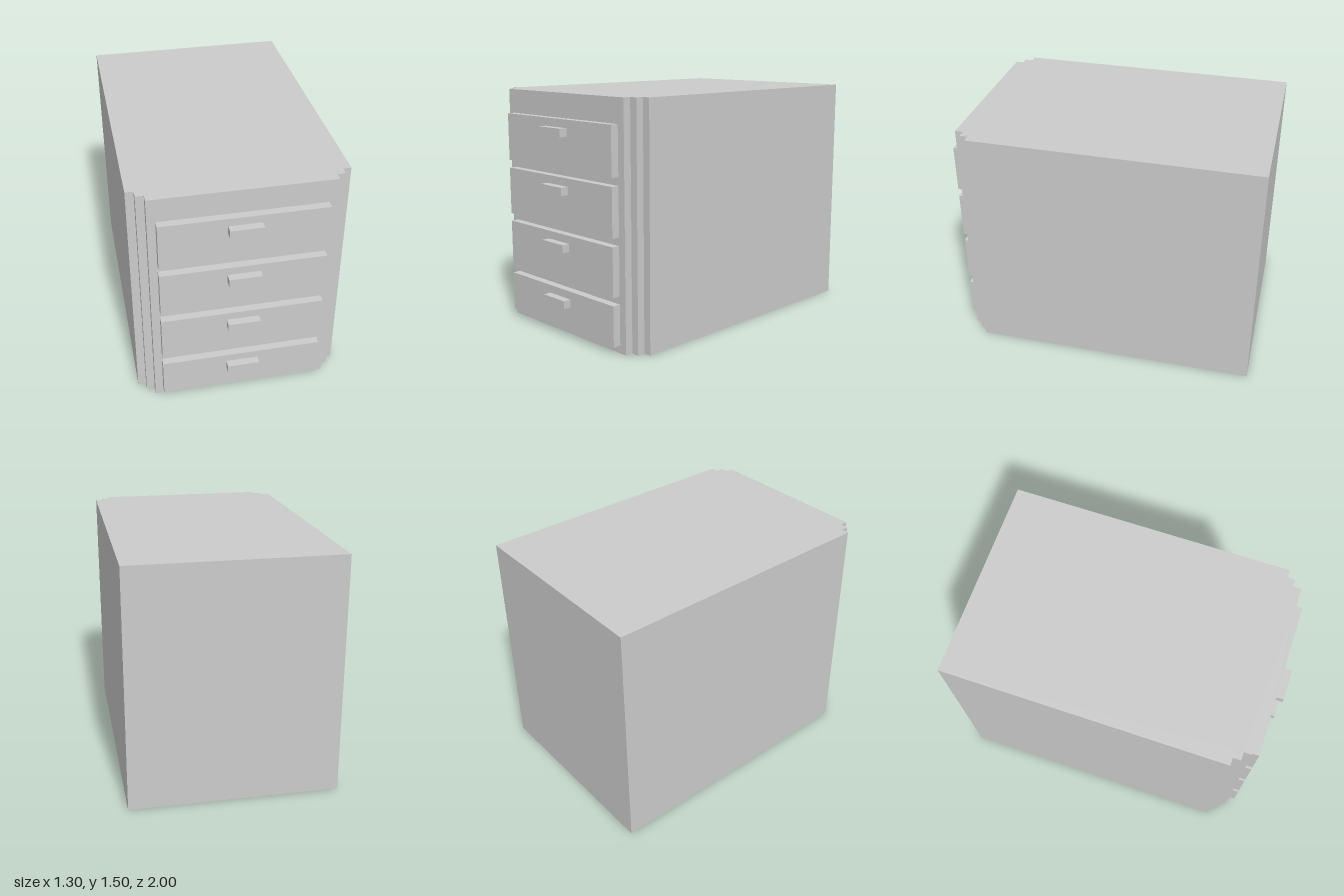
import * as THREE from 'three';

const material = new THREE.MeshStandardMaterial({ color: 0xcccccc, flatShading: true });

// Box centred on x, spanning y0..y1 and z0..z1
function block(name, width, y0, y1, z0, z1) {
  const mesh = new THREE.Mesh(new THREE.BoxGeometry(width, y1 - y0, z1 - z0), material);
  mesh.position.set(0, (y0 + y1) / 2, (z0 + z1) / 2);
  mesh.name = name;
  return mesh;
}

export function createModel() {
  const model = new THREE.Group();
  model.name = 'drawerCabinet';

  // Cabinet body: a plan outline with stepped front corners, extruded upwards
  const rightSide = [[0.65, -1], [0.65, 0.8], [0.6, 0.8], [0.6, 0.85], [0.55, 0.85], [0.55, 0.9]];
  const leftSide = rightSide.map(([x, z]) => [-x, z]).reverse();
  const outline = [...rightSide, ...leftSide].map(([x, z]) => new THREE.Vector2(x, -z));
  const bodyGeometry = new THREE.ExtrudeGeometry(new THREE.Shape(outline), { depth: 1.5, bevelEnabled: false });
  bodyGeometry.rotateX(-Math.PI / 2);
  const body = new THREE.Mesh(bodyGeometry, material);
  body.name = 'cabinetBody';
  model.add(body);

  // Four drawers, the lowest one shorter, each with a bar handle near its top
  for (let i = 0; i < 4; i++) {
    const top = 0.3 + i * 0.35;
    const bottom = i === 0 ? 0.05 : top - 0.3;
    const drawer = new THREE.Group();
    drawer.name = `drawer${i + 1}`;
    drawer.add(
      block('drawerFront', 1, bottom, top, 0.9, 0.95),
      block('drawerHandle', 0.2, top - 0.1, top - 0.05, 0.95, 1)
    );
    model.add(drawer);
  }
  return model;
}
